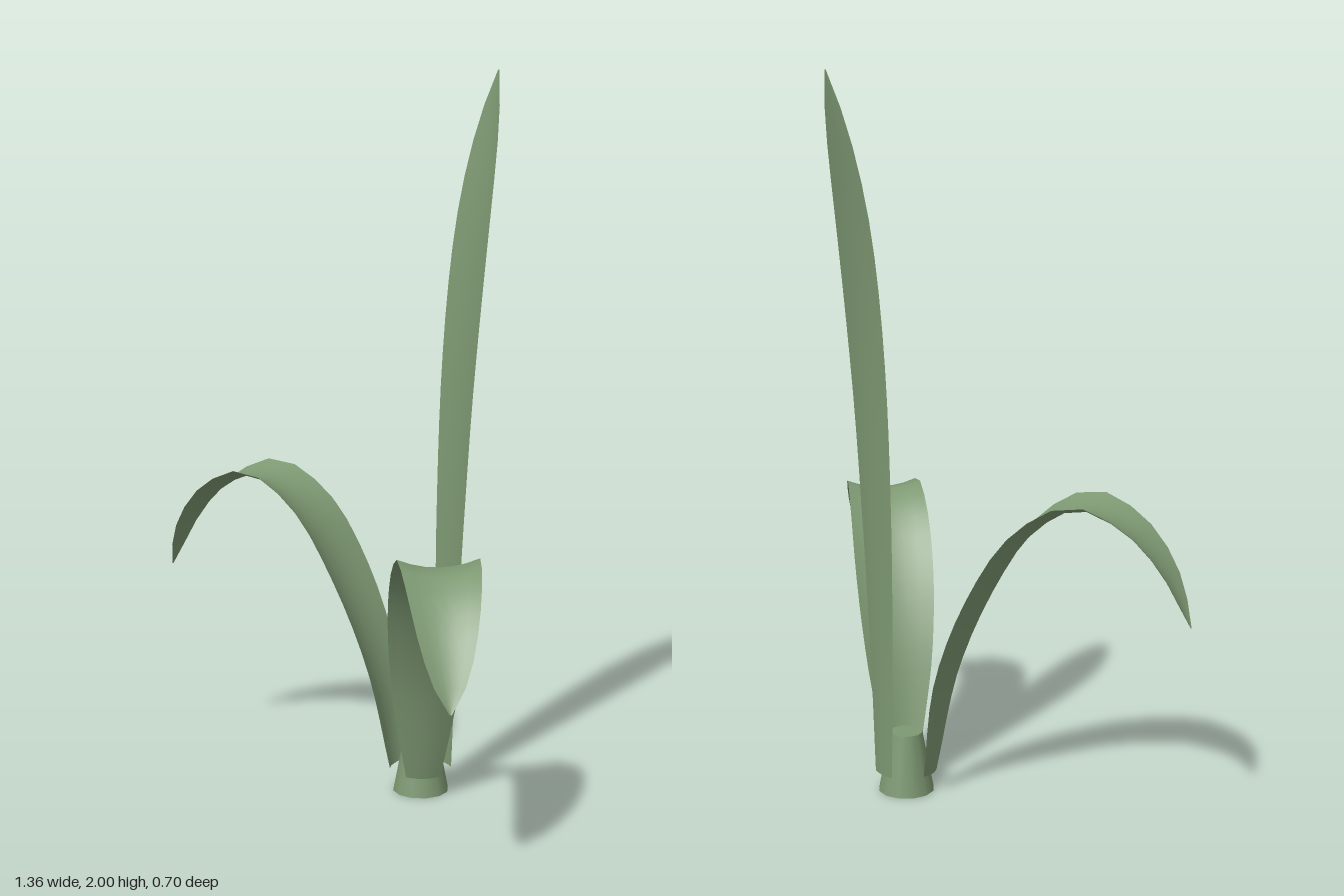
import * as THREE from 'three';

const CENTRE = [0.07, -0.1]; // x, z of the stem
const ALONG = 20, ACROSS = 6;

// Channelled leaf: a midrib in the (radius, height) plane, swept outward in direction (dx, dz).
function leafGeometry([dx, dz], midrib, widths, curl) {
  const len = Math.hypot(dx, dz);
  const out = new THREE.Vector3(dx / len, 0, dz / len);
  const side = new THREE.Vector3(-out.z, 0, out.x);
  const rib = new THREE.CatmullRomCurve3(midrib.map(([r, y]) => new THREE.Vector3(r, y, 0)));
  const width = new THREE.CatmullRomCurve3(
    widths.map((w, i) => new THREE.Vector3(i / 10, w, 0)), false, 'catmullrom');
  const pos = [], index = [];
  for (let i = 0; i <= ALONG; i++) {
    const t = i / ALONG;
    const p = rib.getPointAt(t), d = rib.getTangentAt(t);
    const w = i === ALONG ? 0.003 : width.getPoint(t).y;
    const normal = out.clone().multiplyScalar(-d.y).setY(d.x);
    for (let j = 0; j <= ACROSS; j++) {
      const s = (2 * j) / ACROSS - 1;
      const v = new THREE.Vector3(CENTRE[0], p.y, CENTRE[1])
        .addScaledVector(out, p.x)
        .addScaledVector(side, s * w)
        .addScaledVector(normal, curl * w * (s * s));
      pos.push(v.x, v.y, v.z);
      if (i < ALONG && j < ACROSS) {
        const a = i * (ACROSS + 1) + j, b = a + ACROSS + 1;
        index.push(a, a + 1, b, a + 1, b + 1, b);
      }
    }
  }
  const g = new THREE.BufferGeometry();
  g.setAttribute('position', new THREE.Float32BufferAttribute(pos, 3));
  g.setIndex(index);
  g.computeVertexNormals();
  return g;
}

export function createModel() {
  const group = new THREE.Group();
  const green = new THREE.MeshStandardMaterial({ color: 0x7d9872, side: THREE.DoubleSide });
  green.name = 'leafGreen';
  const add = (name, geometry) => {
    const mesh = new THREE.Mesh(geometry, green);
    mesh.name = name;
    group.add(mesh);
    return mesh;
  };

  // Tapered stem
  add('stem', new THREE.CylinderGeometry(0.046, 0.079, 0.17, 12))
    .position.set(CENTRE[0], 0.085, CENTRE[1]);

  // Half widths at ten equal steps along each leaf
  const broad = [0.048, 0.07, 0.09, 0.103, 0.111, 0.113, 0.11, 0.102, 0.086, 0.06, 0.015];
  const narrow = [0.038, 0.045, 0.053, 0.061, 0.068, 0.074, 0.079, 0.081, 0.076, 0.056, 0.012];

  // Upright leaf at the back
  add('uprightLeaf', leafGeometry([0.03, -0.245],
    [[0.083, 0.06], [0.09, 0.4], [0.105, 0.8], [0.13, 1.2], [0.175, 1.6], [0.247, 2]],
    narrow, 0.12));

  // Two arching leaves
  add('rightArchingLeaf', leafGeometry([-0.745, 0.32],
    [[0.085, 0.06], [0.145, 0.35], [0.25, 0.6], [0.37, 0.78], [0.51, 0.862],
      [0.64, 0.81], [0.73, 0.715], [0.81, 0.565]], broad, 0.26));
  add('leftArchingLeaf', leafGeometry([0.605, 0.44],
    [[0.085, 0.06], [0.165, 0.39], [0.26, 0.595], [0.35, 0.705], [0.46, 0.763],
      [0.57, 0.72], [0.67, 0.61], [0.748, 0.47]], broad, 0.2));

  return group;
}
